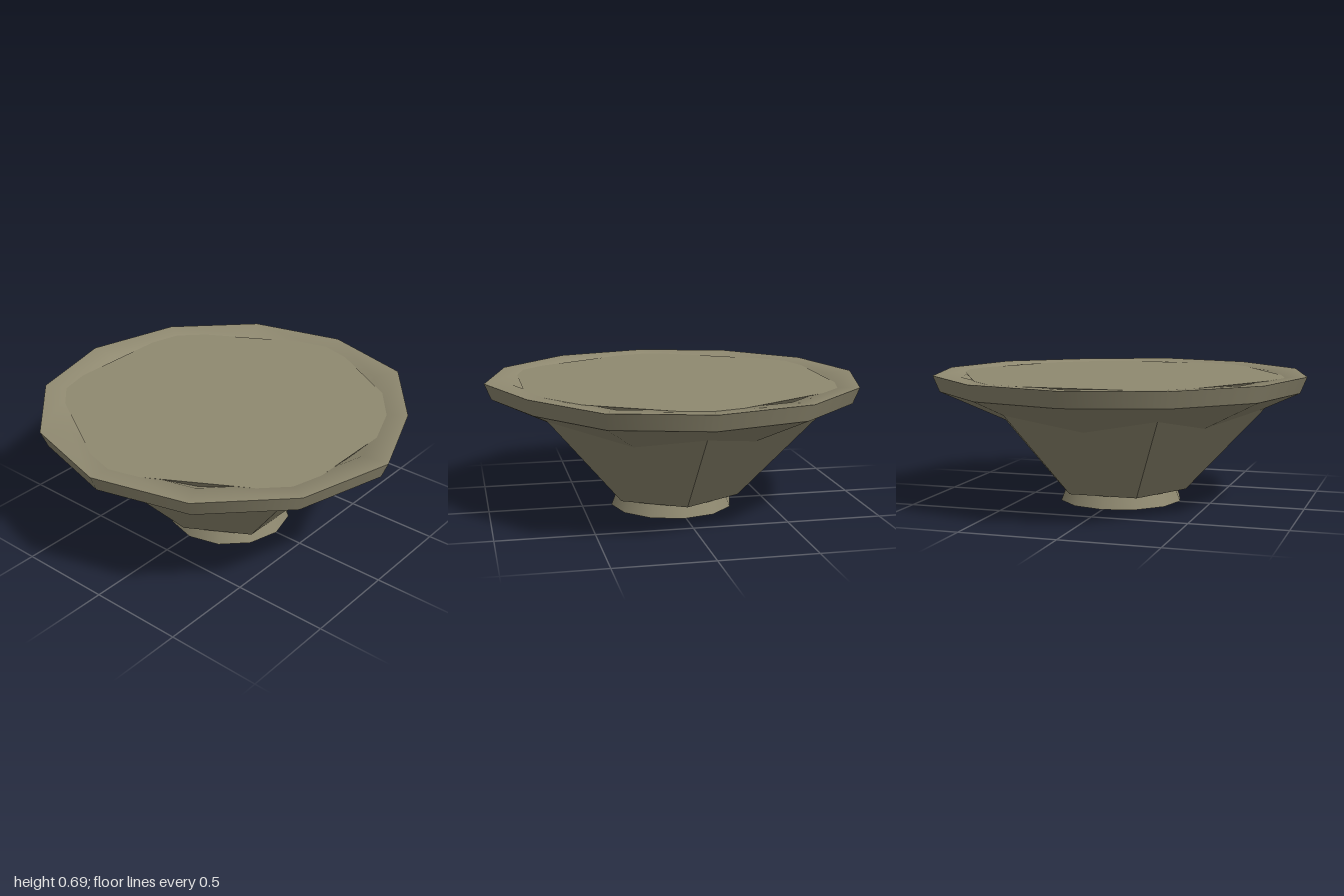
import * as THREE from 'three';

export function createModel() {
  const model = new THREE.Group();
  model.name = 'bowlStand';
  const clay = new THREE.MeshStandardMaterial({ color: 0x8f8970 });
  clay.name = 'olive clay';

  const add = (name, geometry) => {
    const mesh = new THREE.Mesh(geometry, clay);
    mesh.name = name;
    model.add(mesh);
    return mesh;
  };

  // One rim corner, at front left, is worn inwards
  const chip = (geometry) => {
    const p = geometry.attributes.position;
    for (let i = 0; i < p.count; i++) {
      const x = p.getX(i), z = p.getZ(i);
      const off = Math.abs(Math.atan2(x, z) - Math.PI / 6);
      if (Math.hypot(x, z) > 0.5 && off < 0.05) {
        p.setX(i, x * 0.94);
        p.setZ(i, z * 0.94);
      }
    }
    return geometry;
  };

  const ring = (...points) =>
    new THREE.LatheGeometry(points.map(([r, y]) => new THREE.Vector2(r, y)), 12);

  // Twelve-sided dish: underside, outer band and sloping inside
  add('dishUnderside', chip(ring([0, 0.16], [0.965, 0.605])));
  add('dishBand', chip(ring([0.965, 0.605], [1, 0.69])));
  add('dishInside', chip(ring([1, 0.69], [0.855, 0.68], [0, 0.24])));

  // Six-sided solid core that fills the dish
  const core = new THREE.CylinderGeometry(0.935, 0.365, 0.612, 6).toNonIndexed();
  core.computeVertexNormals();
  core.rotateY(Math.PI / 6);
  add('hexagonalCore', core).position.y = 0.376;

  // Foot, narrowing upwards
  add('foot', new THREE.CylinderGeometry(0.305, 0.332, 0.07, 12)).position.set(0, 0.035, 0.01);

  return model;
}
